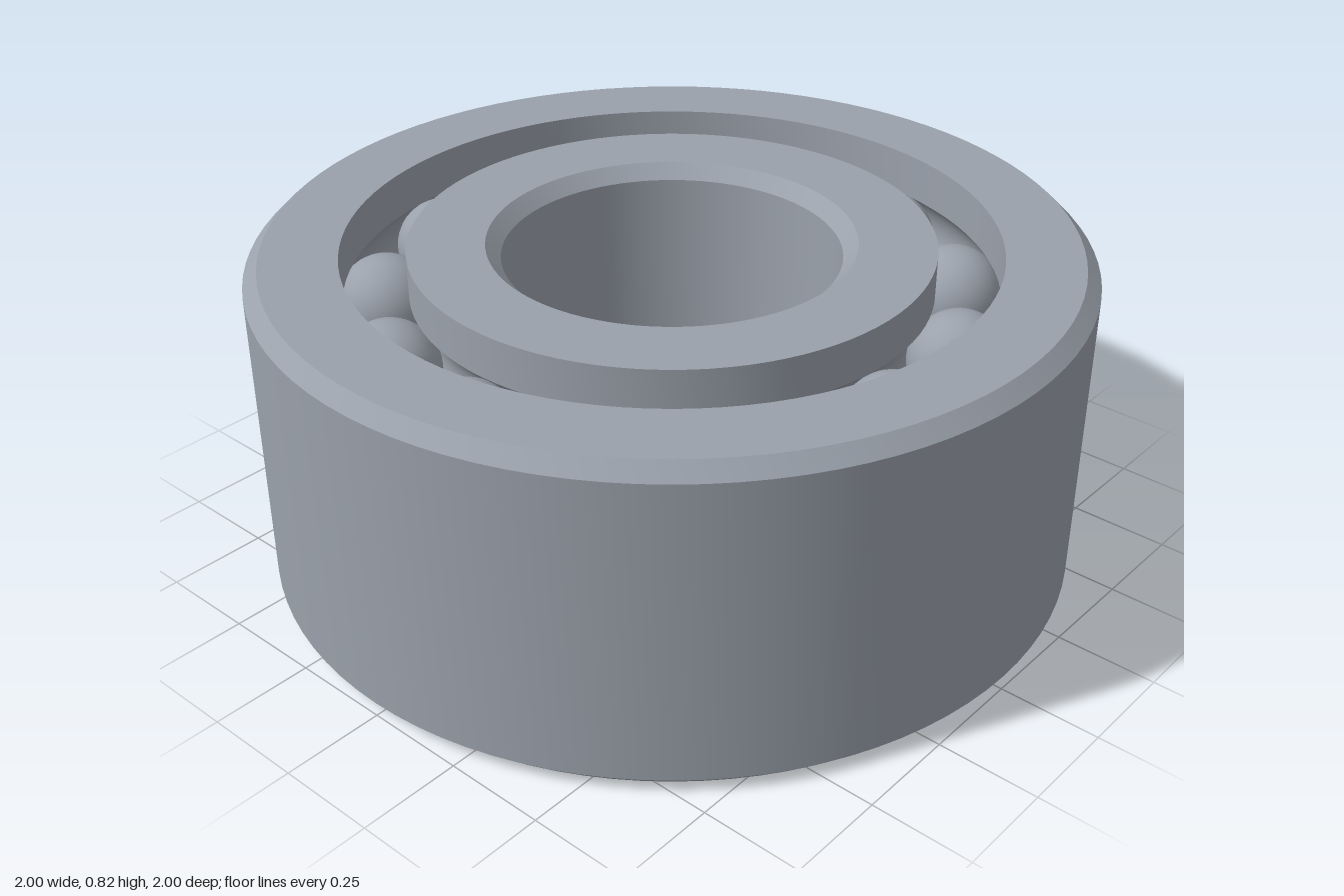
import * as THREE from 'three';
import { toCreasedNormals } from 'three/addons/utils/BufferGeometryUtils.js';

const HEIGHT = 0.82;
const CHAMFER = 0.035;
const PITCH = 0.7;          // radius of the ball circles
const BALL = 0.121;         // ball radius
const BALLS = 13;
const ROWS = [HEIGHT * 0.25, HEIGHT * 0.75];

// Raceway arc cut into a ring wall; side +1 bulges outward, -1 inward
function raceway(wall, rowY, side, up) {
  const r = BALL + 0.001;
  const half = Math.acos(Math.abs(wall - PITCH) / r);
  const points = [];
  for (let i = 0; i <= 12; i++) {
    const t = (up ? 1 : -1) * half * (i / 6 - 1);
    points.push([PITCH + side * r * Math.cos(t), rowY + r * Math.sin(t)]);
  }
  return points;
}

// Closed counter-clockwise section spun about the y axis
function ring(name, section, material) {
  const points = [...section, section[0]].map(([x, y]) => new THREE.Vector2(x, y));
  const geometry = toCreasedNormals(new THREE.LatheGeometry(points, 96), 0.4);
  const mesh = new THREE.Mesh(geometry, material);
  mesh.name = name;
  return mesh;
}

export function createModel() {
  const steel = new THREE.MeshStandardMaterial({ color: 0x9aa1ab });
  steel.name = 'steel';

  const model = new THREE.Group();
  model.name = 'ballBearing';

  // Outer ring with chamfered rim and two inner raceways
  const bore = 0.78;
  model.add(ring('outerRing', [
    [1 - CHAMFER, 0], [1, CHAMFER], [1, HEIGHT - CHAMFER], [1 - CHAMFER, HEIGHT],
    [bore, HEIGHT],
    ...raceway(bore, ROWS[1], 1, false),
    ...raceway(bore, ROWS[0], 1, false),
    [bore, 0],
  ], steel));

  // Inner ring with chamfered bore and two outer raceways
  const hub = 0.625, shaft = 0.405;
  model.add(ring('innerRing', [
    [hub, 0],
    ...raceway(hub, ROWS[0], -1, true),
    ...raceway(hub, ROWS[1], -1, true),
    [hub, HEIGHT],
    [shaft + CHAMFER, HEIGHT], [shaft, HEIGHT - CHAMFER],
    [shaft, CHAMFER], [shaft + CHAMFER, 0],
  ], steel));

  // Two aligned rows of balls
  const ballGeometry = new THREE.SphereGeometry(BALL, 32, 20);
  const start = THREE.MathUtils.degToRad(12.1);
  ROWS.forEach((y, row) => {
    const group = new THREE.Group();
    group.name = row ? 'upperBallRow' : 'lowerBallRow';
    for (let i = 0; i < BALLS; i++) {
      const angle = start + (i * Math.PI * 2) / BALLS;
      const ball = new THREE.Mesh(ballGeometry, steel);
      ball.name = 'ball';
      ball.position.set(PITCH * Math.cos(angle), y, PITCH * Math.sin(angle));
      group.add(ball);
    }
    model.add(group);
  });

  return model;
}
